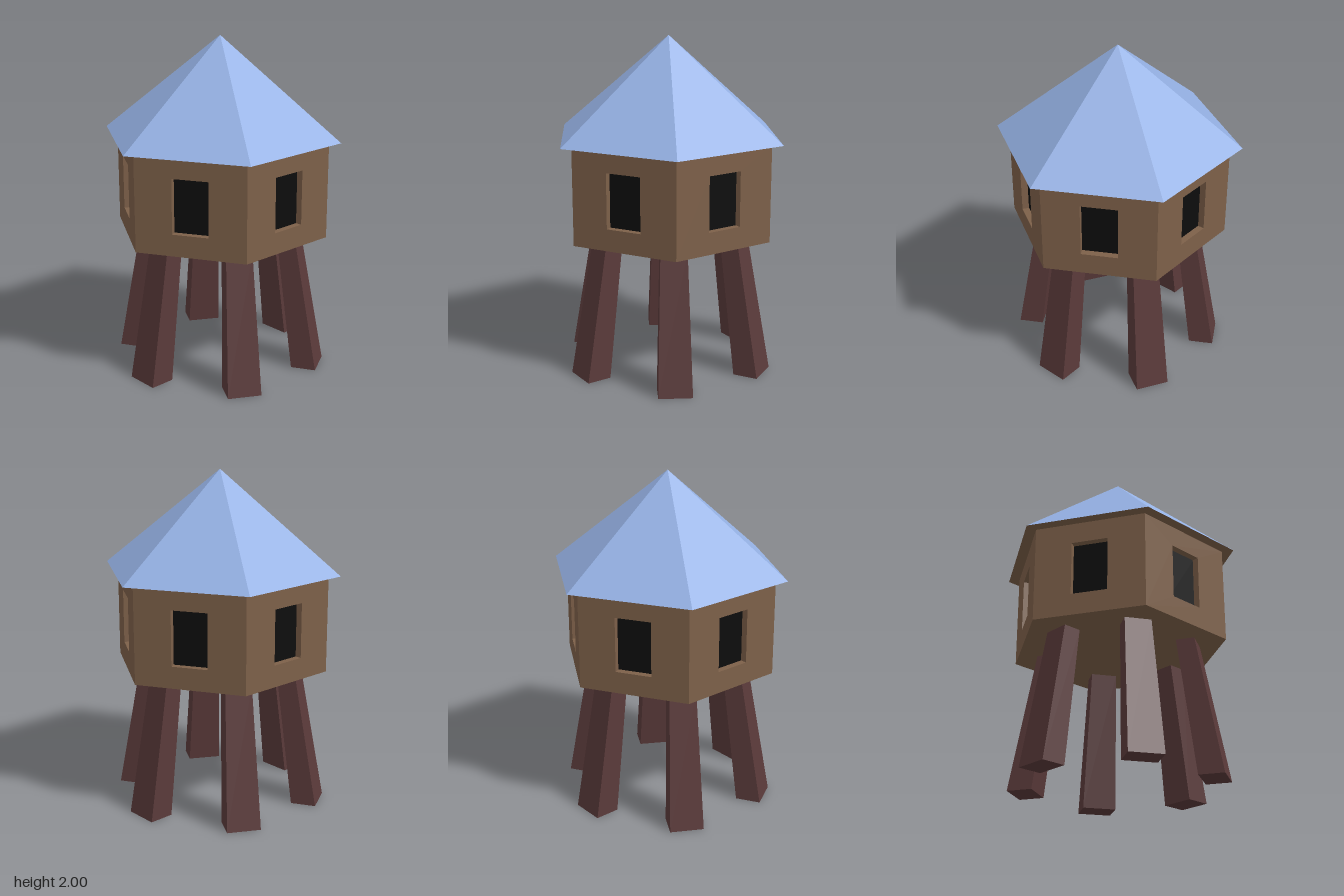
import * as THREE from 'three';

const FLOOR_Y = 0.83, EAVE_Y = 1.41, TOP_Y = 2;
const CABIN_R = 0.657, ROOF_R = 0.728, RECESS = 0.04;

function material(name, color) {
  const m = new THREE.MeshStandardMaterial({ color });
  m.name = name;
  m.flatShading = true;
  return m;
}

function addMesh(parent, name, geometry, mat) {
  const mesh = new THREE.Mesh(geometry, mat);
  mesh.name = name;
  parent.add(mesh);
  return mesh;
}

// Hexagon facing down, with corners on the z axis
function hexagonDown(radius, y) {
  return new THREE.CircleGeometry(radius, 6, Math.PI / 2).rotateX(Math.PI / 2).translate(0, y, 0);
}

// Wall panel with a window hole, outer face at z = 0
function wallGeometry() {
  const half = CABIN_R / 2, w = 0.107, y0 = 0.96, y1 = 1.285;
  const shape = new THREE.Shape([
    new THREE.Vector2(-half, FLOOR_Y), new THREE.Vector2(half, FLOOR_Y),
    new THREE.Vector2(half, EAVE_Y), new THREE.Vector2(-half, EAVE_Y),
  ]);
  shape.holes.push(new THREE.Path([
    new THREE.Vector2(-w, y0), new THREE.Vector2(-w, y1),
    new THREE.Vector2(w, y1), new THREE.Vector2(w, y0),
  ]));
  return new THREE.ExtrudeGeometry(shape, { depth: RECESS, bevelEnabled: false })
    .translate(0, 0, -RECESS);
}

// Tapered post, leaning inward as it rises
function legGeometry() {
  const g = new THREE.BoxGeometry(1, 1, 1);
  const p = g.attributes.position;
  for (let i = 0; i < p.count; i++) {
    const t = p.getY(i) + 0.5;
    p.setXYZ(i,
      p.getX(i) * THREE.MathUtils.lerp(0.2, 0.155, t),
      t * FLOOR_Y,
      THREE.MathUtils.lerp(0.56, 0.43, t) + p.getZ(i) * THREE.MathUtils.lerp(0.15, 0.11, t));
  }
  g.computeVertexNormals();
  return g;
}

export function createModel() {
  const model = new THREE.Group();
  model.name = 'stiltHut';

  const wood = material('wallWood', 0x7d6049);
  const darkWood = material('legWood', 0x5a3a3a);
  const blue = material('roofBlue', 0x94b0e3);
  const black = material('windowBlack', 0x0d0d0d);

  // Roof and eave underside
  const roofHeight = TOP_Y - EAVE_Y;
  const cone = new THREE.ConeGeometry(ROOF_R, roofHeight, 6, 1, true)
    .translate(0, EAVE_Y + roofHeight / 2, 0);
  addMesh(model, 'roof', cone, blue);
  addMesh(model, 'eaveUnderside', hexagonDown(ROOF_R, EAVE_Y), wood);
  addMesh(model, 'floor', hexagonDown(CABIN_R, FLOOR_Y), wood);

  // Six walls with recessed windows, six legs below the corners
  const wallGeo = wallGeometry();
  const paneGeo = new THREE.PlaneGeometry(0.23, 0.34).translate(0, 1.1225, -RECESS);
  const legGeo = legGeometry();
  const apothem = CABIN_R * Math.cos(Math.PI / 6);
  for (let i = 0; i < 6; i++) {
    const corner = i * Math.PI / 3;
    addMesh(model, 'leg', legGeo, darkWood).rotation.y = corner;

    const side = new THREE.Group();
    side.name = 'cabinSide';
    side.rotation.y = corner + Math.PI / 6;
    addMesh(side, 'wall', wallGeo, wood).position.z = apothem;
    addMesh(side, 'windowPane', paneGeo, black).position.z = apothem;
    model.add(side);
  }
  return model;
}
